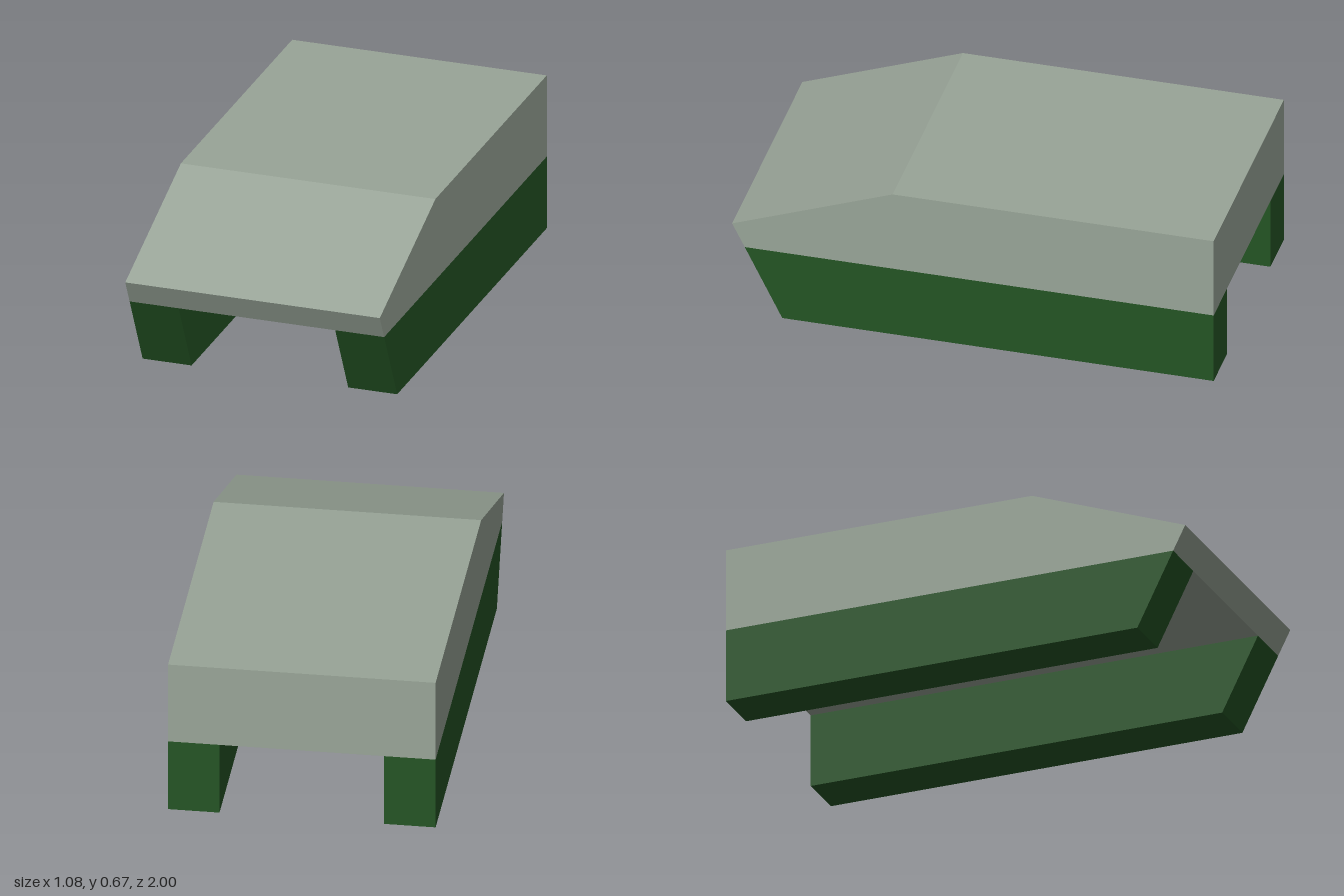
import * as THREE from 'three';

const HALF_WIDTH = 0.5417;

// Extrudes a side profile of [z, y] points across x, centred on x
function slab(name, profile, width, x, material) {
  const shape = new THREE.Shape(profile.map(([z, y]) => new THREE.Vector2(z, y)));
  const geometry = new THREE.ExtrudeGeometry(shape, { depth: width, bevelEnabled: false });
  geometry.rotateY(-Math.PI / 2);
  geometry.translate(x + width / 2, 0, 0);
  const mesh = new THREE.Mesh(geometry, material);
  mesh.name = name;
  return mesh;
}

export function createModel() {
  const model = new THREE.Group();
  model.name = 'hull';

  const greyGreen = new THREE.MeshStandardMaterial({ color: 0x98a497 });
  greyGreen.name = 'greyGreen';
  const darkGreen = new THREE.MeshStandardMaterial({ color: 0x245424 });
  darkGreen.name = 'darkGreen';

  // Upper body with a sloped nose
  const body = [[-1, 0.3125], [0.9475, 0.3125], [1, 0.4167], [0.3333, 0.6667], [-1, 0.6667]];
  model.add(slab('upperBody', body, HALF_WIDTH * 2, 0, greyGreen));

  // Side runners, whose fronts continue the nose's undercut
  const runner = [[-1, 0], [0.7917, 0], [0.9475, 0.3125], [-1, 0.3125]];
  const width = HALF_WIDTH - 0.3333;
  for (const [name, side] of [['leftRunner', 1], ['rightRunner', -1]]) {
    model.add(slab(name, runner, width, side * (HALF_WIDTH - width / 2), darkGreen));
  }
  return model;
}
